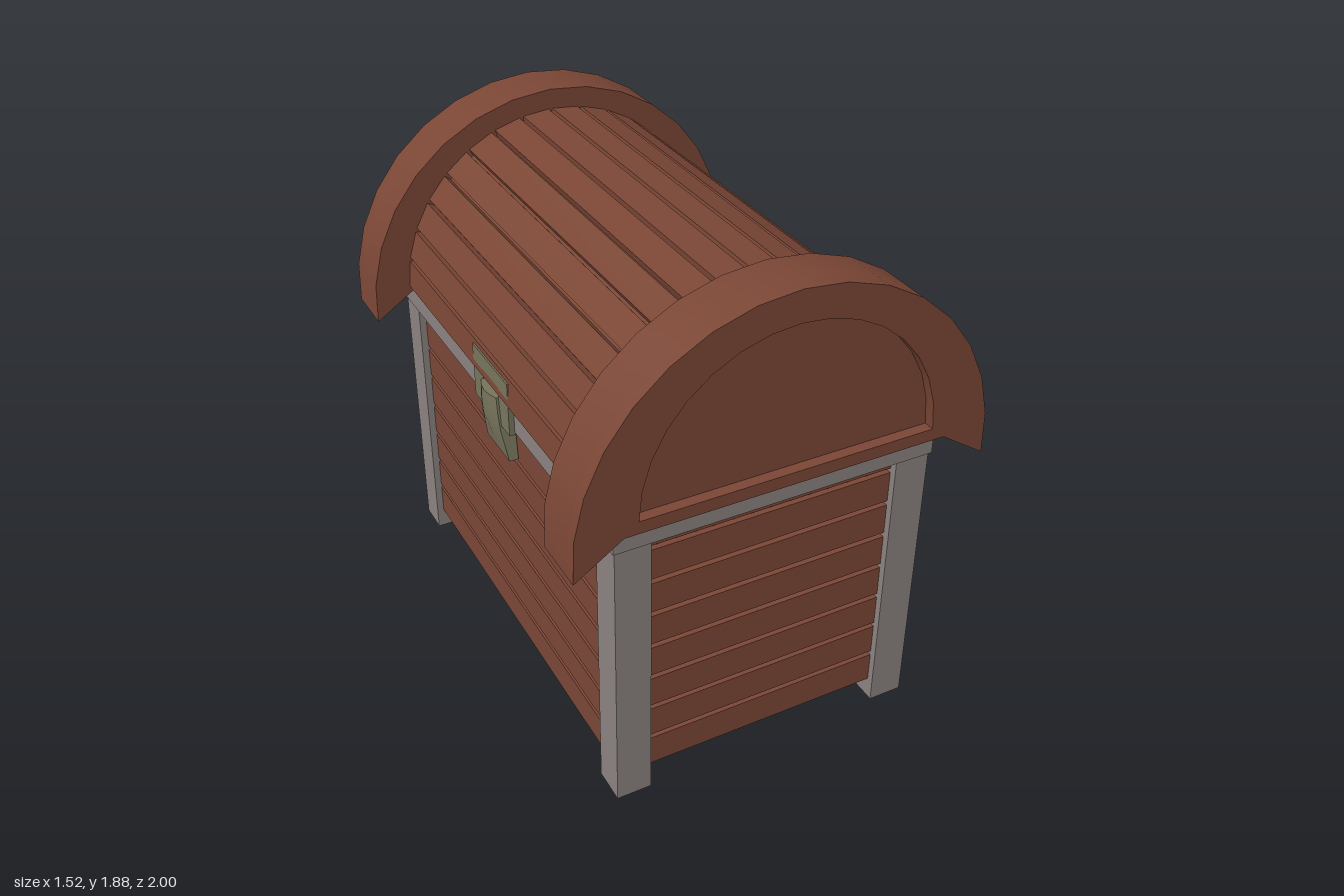
import * as THREE from 'three';
import { toCreasedNormals } from 'three/addons/utils/BufferGeometryUtils.js';

const mat = (color) => new THREE.MeshStandardMaterial({ color, roughness: 0.9 });

// Points along an arc in the XY plane
function arc(r, cy, from, to, n) {
  return Array.from({ length: n + 1 }, (_, i) => {
    const a = from + ((to - from) * i) / n;
    return new THREE.Vector2(r * Math.cos(a), cy + r * Math.sin(a));
  });
}

// Extrude a profile along z between two depths, smoothing gentle bends
function slab(shape, z0, z1) {
  const g = new THREE.ExtrudeGeometry(shape, { depth: z1 - z0, bevelEnabled: false });
  g.translate(0, 0, z0);
  return toCreasedNormals(g, 0.5);
}

export function createModel() {
  const root = new THREE.Group();
  const wood = mat(0x7a4635), metal = mat(0x8a827f), black = mat(0x0b0b0b), brass = mat(0x77745c);

  function add(parent, name, geo, material, x = 0, y = 0, z = 0) {
    const m = new THREE.Mesh(geo, material);
    m.name = name;
    m.position.set(x, y, z);
    parent.add(m);
    return m;
  }
  const box = (parent, name, material, w, h, d, x, y, z) =>
    add(parent, name, new THREE.BoxGeometry(w, h, d), material, x, y, z);

  // Body: a core wrapped by stacked planks with narrow grooves
  const body = new THREE.Group();
  body.name = 'body';
  root.add(body);
  box(body, 'bodyCore', wood, 1.09, 1.0, 1.77, 0, 0.59, 0);
  const pitch = 0.137, gap = 0.018;
  for (let y = 0.08; y < 1.08; y += pitch) {
    const top = Math.min(y + pitch - gap, 1.085);
    box(body, 'bodyPlank', wood, 1.13, top - y, 1.81, 0, (y + top) / 2, 0);
  }

  // Corner posts
  for (const sx of [-1, 1])
    for (const sz of [-1, 1])
      box(root, 'cornerPost', metal, 0.13, 1.08, 0.13, sx * 0.527, 0.54, sz * 0.867);

  // Rim around the top of the body
  for (const s of [-1, 1]) {
    box(root, 'rimSide', metal, 0.14, 0.105, 1.88, s * 0.53, 1.1325, 0);
    box(root, 'rimEnd', metal, 0.92, 0.105, 0.14, 0, 1.1325, s * 0.87);
  }

  // Barrel lid: half-round core and 16 flat planks
  const lid = new THREE.Group();
  lid.name = 'lid';
  root.add(lid);
  const lidY = 1.185, apothem = 0.62, planks = 16;
  add(lid, 'lidCore', slab(new THREE.Shape(arc(0.592, lidY, 0, Math.PI, 32)), -0.8, 0.8), wood);
  const plankWidth = 2 * apothem * Math.tan(Math.PI / planks / 2) - 0.016;
  for (let i = 0; i < planks; i++) {
    const a = ((i + 0.5) / planks) * Math.PI, r = apothem - 0.02;
    const p = box(lid, 'lidPlank', wood, plankWidth, 0.04, 1.6, r * Math.cos(a), lidY + r * Math.sin(a), 0);
    p.rotation.z = a - Math.PI / 2;
  }

  // Overhanging arches at both ends, each with a recessed half-round panel
  const outline = () => new THREE.Shape([
    ...arc(0.764, 1.121, -0.068, Math.PI + 0.068, 16),
    new THREE.Vector2(-0.59, 1.184),
    new THREE.Vector2(0.59, 1.184),
  ]);
  const face = outline();
  face.holes.push(new THREE.Path(arc(0.54, 1.23, 0, Math.PI, 16).reverse()));
  for (const s of [0, 1]) {
    const end = new THREE.Group();
    end.name = 'lidEnd';
    end.rotation.y = s * Math.PI;
    add(end, 'lidEndArch', slab(outline(), 0.79, 0.96), wood);
    add(end, 'lidEndFrame', slab(face, 0.96, 1.0), wood);
    lid.add(end);
  }

  // Long hinge barrel
  const hinge = add(root, 'hinge', new THREE.CylinderGeometry(0.058, 0.058, 1.13, 16), black, 0.588, 1.2, -0.027);
  hinge.rotation.x = Math.PI / 2;

  // Latch: pierced plate on the lid and a tapered hasp hanging over the rim
  const latch = new THREE.Group();
  latch.name = 'latch';
  latch.rotation.y = -Math.PI / 2;
  latch.position.set(-0.58, 0, 0.025);
  root.add(latch);
  const plate = new THREE.Shape([[-0.155, 1.07], [0.155, 1.07], [0.155, 1.28], [-0.155, 1.28]]
    .map((p) => new THREE.Vector2(...p)));
  plate.holes.push(new THREE.Path([[-0.07, 1.1], [-0.07, 1.22], [0.07, 1.22], [0.07, 1.1]]
    .map((p) => new THREE.Vector2(...p))));
  add(latch, 'latchPlate', slab(plate, 0, 0.04), brass);
  const hasp = new THREE.BoxGeometry(1, 1, 1, 4, 4, 1);
  const pos = hasp.attributes.position;
  for (let i = 0; i < pos.count; i++) {
    const u = pos.getX(i), t = pos.getY(i) + 0.5, front = pos.getZ(i) > 0;
    const bulge = 0.025 + 0.04 * Math.min(1, t * 1.7) * (1 - 1.6 * u * u);
    pos.setXYZ(i, u * (0.2 - 0.06 * t), 0.925 + 0.255 * t, front ? bulge : -0.01);
  }
  add(latch, 'latchHasp', toCreasedNormals(hasp, 0.6), brass);

  return root;
}
